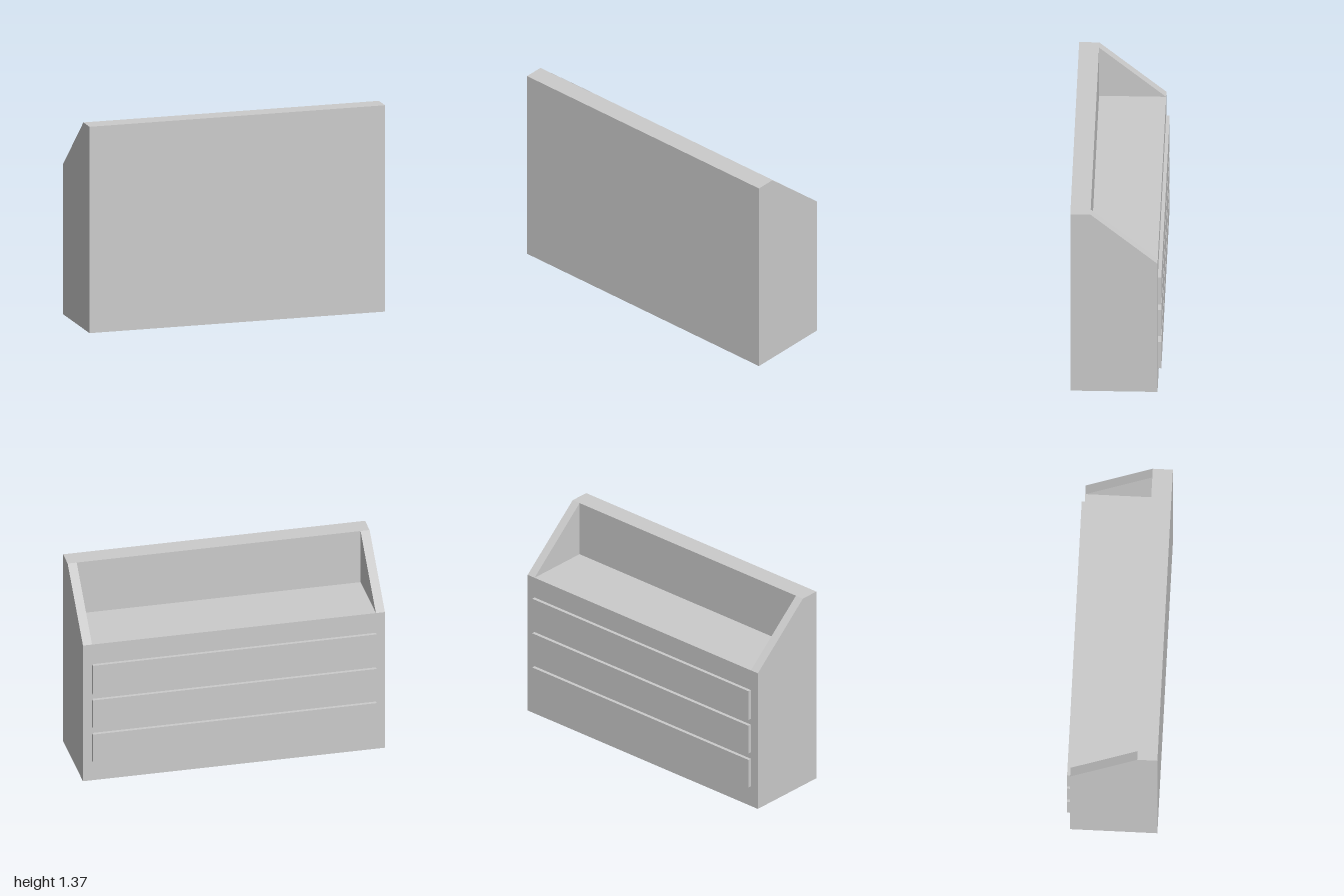
import * as THREE from 'three';

const TOP = 1.367, SHELF = 0.993;             // heights
const FRONT = 0.293, WALL = 0.163, REAR = -0.27; // depths

export function createModel() {
  const group = new THREE.Group();
  const material = new THREE.MeshStandardMaterial({ color: 0xcccccc, flatShading: true });

  const add = (name, geometry) => {
    const mesh = new THREE.Mesh(geometry, material);
    mesh.name = name;
    group.add(mesh);
  };

  // Extrudes a side profile of [z, y] points across x, from xMin to xMin + width
  const profile = (points, xMin, width) => {
    const shape = new THREE.Shape(points.map(([z, y]) => new THREE.Vector2(z, y)));
    return new THREE.ExtrudeGeometry(shape, { depth: width, bevelEnabled: false })
      .rotateY(-Math.PI / 2)
      .translate(xMin + width, 0, 0);
  };

  // Cabinet body with its tall panel and open shelf
  add('cabinetBody', profile([
    [REAR, 0], [FRONT, 0], [FRONT, TOP], [WALL, TOP], [WALL, SHELF], [REAR, SHELF],
  ], -1, 2));

  // Sloping cheeks at both ends of the shelf
  const cheek = [[REAR, SHELF], [WALL, SHELF], [WALL, TOP]];
  add('leftCheek', profile(cheek, 0.94, 0.06));
  add('rightCheek', profile(cheek, -1, 0.06));

  // Three drawer fronts, standing slightly proud
  [[0.144, 0.346], [0.393, 0.596], [0.639, 0.849]].forEach(([low, high], i) => {
    const depth = 0.023;
    add(`drawerFront${i + 1}`, new THREE.BoxGeometry(1.88, high - low, depth)
      .translate(0, (low + high) / 2, REAR - depth / 2));
  });

  return group;
}
